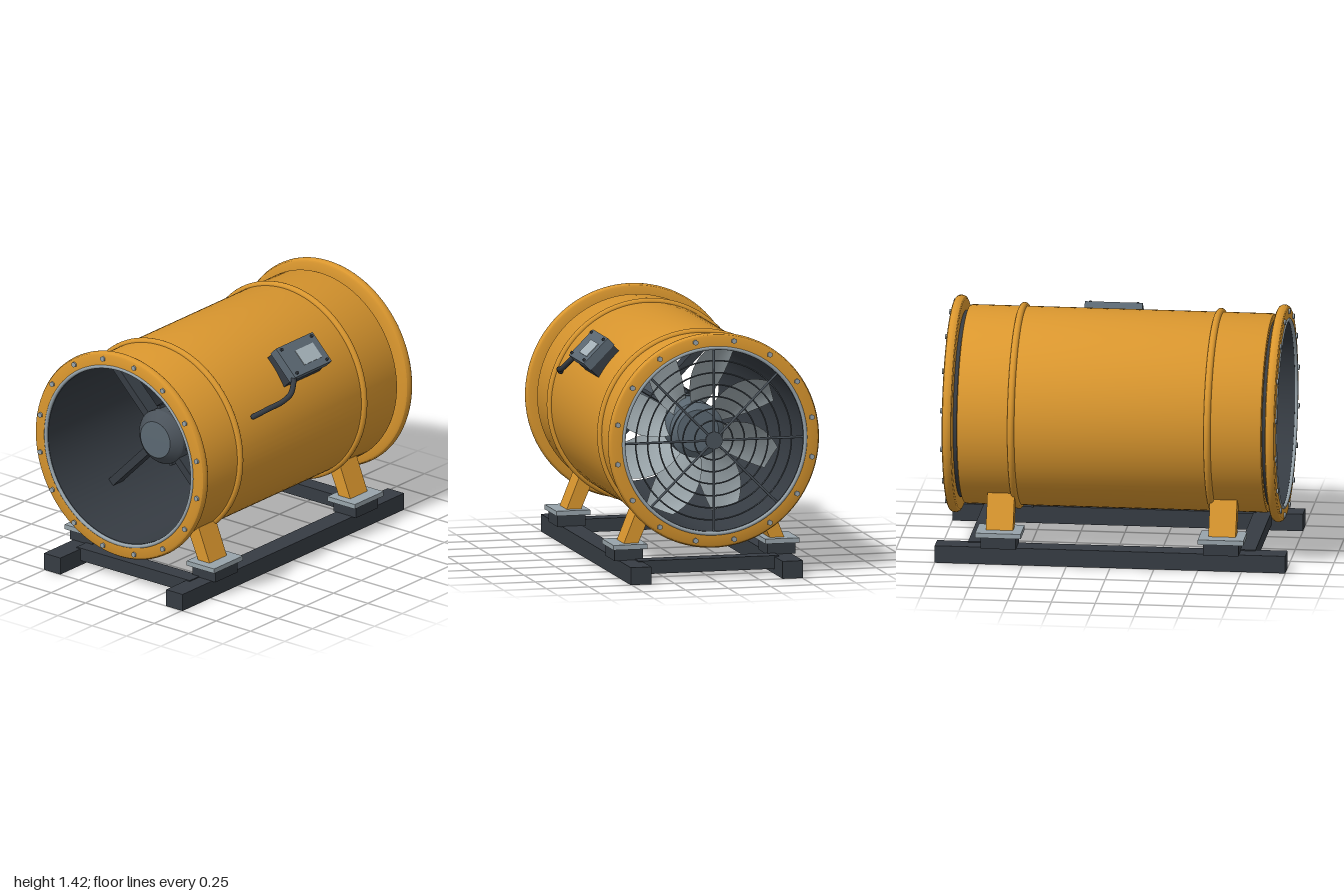
import * as THREE from 'three';
import { toCreasedNormals } from 'three/addons/utils/BufferGeometryUtils.js';

const mat = (name, color, side = THREE.FrontSide) => {
  const m = new THREE.MeshStandardMaterial({ color, side });
  m.name = name;
  return m;
};
const AXIS_Y = 0.8;

export function createModel() {
  const orange = mat('orange paint', 0xd9962e);
  const dark = mat('dark steel', 0x363c43);
  const grey = mat('motor grey', 0x5b6872);
  const wire = mat('guard wire', 0x4a525a);
  const silver = mat('zinc', 0x98a4ab);
  const bladeMat = mat('blade metal', 0x9ba6ab, THREE.DoubleSide);
  const label = mat('label', 0xa6b3ba);

  const model = new THREE.Group();
  const fan = new THREE.Group();
  fan.name = 'fanAssembly';
  fan.position.y = AXIS_Y;
  model.add(fan);

  const add = (parent, name, geo, material, x = 0, y = 0, z = 0) => {
    const m = new THREE.Mesh(geo, material);
    m.name = name;
    m.position.set(x, y, z);
    parent.add(m);
    return m;
  };
  // box given by its limits on each axis
  const box = (parent, name, material, x0, x1, y0, y1, z0, z1) =>
    add(parent, name, new THREE.BoxGeometry(x1 - x0, y1 - y0, z1 - z0), material,
      (x0 + x1) / 2, (y0 + y1) / 2, (z0 + z1) / 2);
  // solid of revolution about z from [radius, z] points
  const turned = (name, pts, material, seg = 96) => {
    const g = new THREE.LatheGeometry(pts.map(p => new THREE.Vector2(p[0], p[1])), seg);
    g.rotateX(Math.PI / 2);
    return add(fan, name, toCreasedNormals(g, 0.5), material);
  };
  const hexBolt = (parent, name, r, h, x, y, z) => {
    const g = new THREE.CylinderGeometry(r, r, h, 6).rotateX(Math.PI / 2);
    return add(parent, name, g, silver, x, y, z);
  };

  // duct shell with rounded ends, dark liner and necks
  turned('ductShell', [[0.525, -0.87], [0.553, -0.87], [0.561, -0.866], [0.565, -0.855],
    [0.565, 0.855], [0.561, 0.866], [0.553, 0.87], [0.525, 0.87]], orange);
  turned('ductLiner', [[0.53, 0.94], [0.521, 0.94], [0.521, -0.94], [0.53, -0.94], [0.53, 0.94]], dark);

  for (const s of [-1, 1]) {
    // raised band
    add(fan, 'ductBand', new THREE.TorusGeometry(0.567, 0.02, 12, 96), orange, 0, 0, s * 0.56);
    // rounded end flange
    const flange = [];
    const loop = [[0.53, 0.893], [0.598, 0.893], [0.609, 0.899], [0.616, 0.911], [0.617, 0.921],
      [0.616, 0.932], [0.609, 0.944], [0.598, 0.95], [0.53, 0.95], [0.53, 0.893]];
    for (const [r, z] of loop) flange.push([r, s * z]);
    turned('endFlange', s > 0 ? flange : flange.reverse(), orange);
    add(fan, 'mouthRing', new THREE.TorusGeometry(0.533, 0.011, 10, 96), silver, 0, 0, s * 0.946);
    for (let i = 0; i < 16; i++) {
      const a = (i + 0.5) * Math.PI / 8;
      hexBolt(fan, 'flangeBolt', 0.016, 0.016, Math.cos(a) * 0.58, Math.sin(a) * 0.58, s * 0.952);
    }
  }

  // motor: tapered nose, body and cooling fins
  turned('motorCap', [[0.108, 0.62], [0, 0.622]], grey, 48);
  turned('motorBody', [[0, -0.3], [0.16, -0.3], [0.16, 0.565], [0.15, 0.58], [0.108, 0.62]], wire, 48);
  for (let i = 0; i < 12; i++) {
    const a = (i + 0.5) * Math.PI / 6;
    const fin = add(fan, 'motorFin', new THREE.BoxGeometry(0.03, 0.02, 0.75), dark,
      Math.cos(a) * 0.162, Math.sin(a) * 0.162, 0.16);
    fin.rotation.z = a;
  }
  // diagonal struts
  for (let i = 0; i < 4; i++) {
    const a = (i + 0.5) * Math.PI / 2;
    const strut = add(fan, 'motorStrut', new THREE.BoxGeometry(0.385, 0.045, 0.09), dark,
      Math.cos(a) * 0.332, Math.sin(a) * 0.332, 0.52);
    strut.rotation.z = a;
  }

  // impeller hub and swept, twisted blades
  turned('impellerHub', [[0, -0.58], [0.12, -0.58], [0.158, -0.55], [0.158, -0.301]], grey, 48);
  const bladeGeo = makeBlade();
  for (let i = 0; i < 8; i++) {
    add(fan, 'blade', bladeGeo, bladeMat, 0, 0, -0.45).rotation.z = (i + 0.5) * Math.PI / 4;
  }

  // rear wire guard
  for (let i = 0; i < 7; i++) {
    add(fan, 'guardRing', new THREE.TorusGeometry(0.112 + i * 0.069, 0.0045, 6, 72), wire, 0, 0, -0.925);
  }
  for (let i = 0; i < 4; i++) {
    add(fan, 'guardSpoke', new THREE.CylinderGeometry(0.007, 0.007, 1.06, 8), wire, 0, 0, -0.932)
      .rotation.z = i * Math.PI / 4;
  }
  add(fan, 'guardCentre', new THREE.CylinderGeometry(0.05, 0.05, 0.014, 32).rotateX(Math.PI / 2),
    wire, 0, 0, -0.932);

  // control box, tilted to sit on the upper side
  const control = new THREE.Group();
  control.name = 'controlBox';
  control.rotation.z = Math.PI / 4;
  fan.add(control);
  box(control, 'boxBase', dark, 0.54, 0.61, -0.155, 0.035, -0.243, 0.07);
  box(control, 'boxCover', grey, 0.61, 0.666, -0.16, 0.04, -0.25, 0.08);
  box(control, 'boxLabel', label, 0.664, 0.67, -0.115, -0.017, -0.2, -0.04);
  for (const y of [-0.14, 0.02]) for (const z of [-0.22, 0.05]) {
    const g = new THREE.CylinderGeometry(0.009, 0.009, 0.016, 6).rotateZ(Math.PI / 2);
    add(control, 'coverScrew', g, dark, 0.67, y, z);
  }

  // cable from box to shell
  const path = new THREE.CatmullRomCurve3([[0.555, 1.15, 0.06], [0.575, 1.125, 0.085], [0.598, 1.08, 0.14],
    [0.598, 1.055, 0.22], [0.58, 1.04, 0.31], [0.545, 1.012, 0.41]].map(p => new THREE.Vector3(...p)));
  add(model, 'cable', new THREE.TubeGeometry(path, 40, 0.016, 10), dark);
  add(model, 'cableEnd', new THREE.SphereGeometry(0.016, 12, 8), dark, 0.545, 1.012, 0.41);

  // feet: slanted leg, plate and block, on two rails
  const legShape = new THREE.Shape([[0.385, 0.193], [0.47, 0.193], [0.391, 0.39], [0.315, 0.355]]
    .map(p => new THREE.Vector2(...p)));
  const mirrored = new THREE.Shape(legShape.getPoints().map(p => new THREE.Vector2(-p.x, p.y)));
  for (const sx of [-1, 1]) {
    const bx = (name, m, x0, x1, y0, y1, z0, z1) =>
      box(model, name, m, Math.min(sx * x0, sx * x1), Math.max(sx * x0, sx * x1), y0, y1, z0, z1);
    bx('rail', dark, 0.385, 0.505, 0, 0.1, -1, 1);
    for (const sz of [-1, 1]) {
      const z = sz * 0.635;
      add(model, 'leg', new THREE.ExtrudeGeometry(sx > 0 ? legShape : mirrored,
        { depth: 0.155, bevelEnabled: false }), orange, 0, 0, z - 0.0775);
      bx('footPlate', silver, 0.345, 0.545, 0.165, 0.193, z - 0.13, z + 0.13);
      bx('footBlock', dark, 0.365, 0.53, 0.098, 0.165, z - 0.1, z + 0.1);
    }
  }
  for (const sz of [-1, 1]) {
    box(model, 'crossBeam', dark, -0.412, 0.412, 0.03, 0.106, sz * 0.77 - 0.05, sz * 0.77 + 0.05);
  }
  return model;
}

// blade as a grid: radius by chord, with swept edges, twist and camber
function makeBlade() {
  const NR = 14, NC = 10, pos = [], idx = [];
  for (let i = 0; i <= NR; i++) {
    const s = i / NR;
    const r = 0.15 + 0.355 * s;
    const lead = -33 + 25 * Math.pow(s, 1.8), trail = 17 - 9 * s;
    for (let j = 0; j <= NC; j++) {
      const t = j / NC, u = 2 * t - 1;
      const a = THREE.MathUtils.degToRad(lead + (trail - lead) * t);
      const z = u * (0.085 - 0.04 * s) + 0.02 * (1 - u * u);
      pos.push(r * Math.cos(a), r * Math.sin(a), z);
      if (i < NR && j < NC) {
        const k = i * (NC + 1) + j, n = k + NC + 1;
        idx.push(k, n, k + 1, n, n + 1, k + 1);
      }
    }
  }
  const g = new THREE.BufferGeometry();
  g.setAttribute('position', new THREE.Float32BufferAttribute(pos, 3));
  g.setIndex(idx);
  g.computeVertexNormals();
  return g;
}
